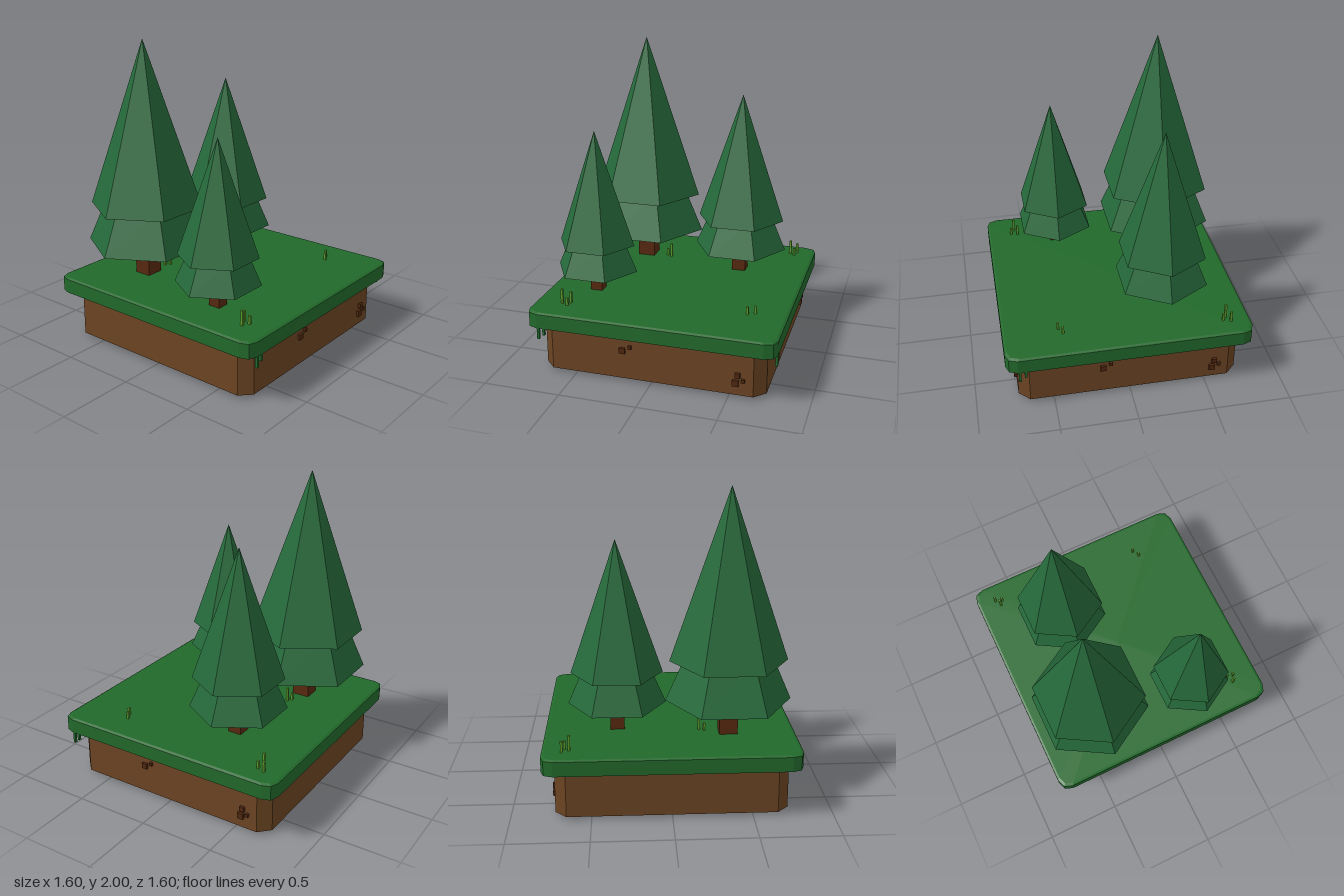
import * as THREE from 'three';

const paint = (color) => new THREE.MeshStandardMaterial({ color, flatShading: true });
const GROUND = 0.425;

function addMesh(parent, name, geometry, material, x = 0, y = 0, z = 0) {
  const mesh = new THREE.Mesh(geometry, material);
  mesh.name = name;
  mesh.position.set(x, y, z);
  parent.add(mesh);
  return mesh;
}

// Square block with cut corners: one corner [x, z] turned four times,
// stacked in levels of [y, scale] and capped at both ends.
function blockGeometry(corner, levels) {
  const outline = [];
  let points = corner;
  for (let k = 0; k < 4; k++) {
    outline.push(...points);
    points = points.map(([x, z]) => [z, -x]);
  }
  const rings = levels.map(([y, s]) => outline.map(([x, z]) => [x * s, y, z * s]));
  const n = outline.length;
  const last = rings.length - 1;
  const pos = [];
  const tri = (a, b, c) => pos.push(...a, ...b, ...c);
  for (let i = 0; i < n; i++) {
    const j = (i + 1) % n;
    for (let r = 0; r < last; r++) {
      const low = rings[r], high = rings[r + 1];
      tri(low[i], low[j], high[j]);
      tri(low[i], high[j], high[i]);
    }
    tri([0, levels[0][0], 0], rings[0][j], rings[0][i]);
    tri([0, levels[last][0], 0], rings[last][i], rings[last][j]);
  }
  const geometry = new THREE.BufferGeometry();
  geometry.setAttribute('position', new THREE.Float32BufferAttribute(pos, 3));
  geometry.computeVertexNormals();
  return geometry;
}

// Conifer with a square trunk and two six-sided tiers
function makeTree(name, x, z, size, bark, needles) {
  const tree = new THREE.Group();
  tree.name = name;
  addMesh(tree, 'trunk', new THREE.BoxGeometry(0.117, 0.26, 0.117), bark, 0, 0.12, 0);
  addMesh(tree, 'lowerTier', new THREE.CylinderGeometry(0.27, 0.4, 0.3, 6), needles, 0, 0.37, 0);
  addMesh(tree, 'upperTier', new THREE.ConeGeometry(0.375, 1.095, 6), needles, 0, 1.0275, 0);
  tree.position.set(x, GROUND, z);
  tree.scale.setScalar(size);
  return tree;
}

export function createModel() {
  const model = new THREE.Group();
  model.name = 'forestTile';
  const dirt = paint(0x6b4423);
  const clod = paint(0x50280f);
  const turf = paint(0x22692b);
  const needles = paint(0x25693a);
  const bark = paint(0x57290f);
  const blade = paint(0x5a9a2a);

  // Ground
  addMesh(model, 'soilBlock',
    blockGeometry([[0.655, 0.725], [0.725, 0.655]], [[0, 0.91], [0.02, 1], [0.33, 1]]), dirt);
  addMesh(model, 'grassSlab',
    blockGeometry([[0.725, 0.8], [0.78, 0.78], [0.8, 0.725]],
      [[0.32, 0.985], [0.325, 1], [0.42, 1], [0.428, 0.98]]), turf);

  // Trees
  model.add(makeTree('tallTree', -0.385, 0.37, 1, bark, needles));
  model.add(makeTree('middleTree', -0.28, -0.335, 0.785, bark, needles));
  model.add(makeTree('smallTree', 0.32, 0.49, 0.683, bark, needles));

  // Grass blades: x, z, top height
  const blades = [
    [-0.67, -0.675, 0.5], [-0.645, -0.63, 0.525], [-0.623, -0.66, 0.48],
    [0.415, -0.595, 0.478], [0.441, -0.548, 0.478],
    [0.588, 0.575, 0.5], [0.611, 0.625, 0.525], [0.634, 0.582, 0.48],
    [-0.37, 0.22, 0.478], [-0.35, 0.188, 0.525],
  ];
  for (const [x, z, top] of blades) {
    const h = top - 0.41;
    addMesh(model, 'grassBlade', new THREE.BoxGeometry(0.015, h, 0.015), blade, x, top - h / 2, z);
  }

  // Clods and hanging grass, the same on the left side and the back
  const clods = [
    [0.18, 0.215, 0.037], [0.13, 0.243, 0.022],
    [-0.558, 0.157, 0.032], [-0.545, 0.104, 0.04], [-0.592, 0.124, 0.022],
  ];
  const strands = [[0.715, 0.25], [0.678, 0.28]];
  for (const [name, angle] of [['leftSideDetails', 0], ['backDetails', Math.PI / 2]]) {
    const side = new THREE.Group();
    side.name = name;
    for (const [z, y, s] of clods) {
      addMesh(side, 'clod', new THREE.BoxGeometry(0.04, s, s), clod, 0.722, y, z);
    }
    for (const [z, bottom] of strands) {
      const h = 0.4 - bottom;
      addMesh(side, 'hangingGrass', new THREE.BoxGeometry(0.016, h, 0.016), turf, 0.791, bottom + h / 2, z);
    }
    side.rotation.y = angle;
    model.add(side);
  }
  return model;
}
